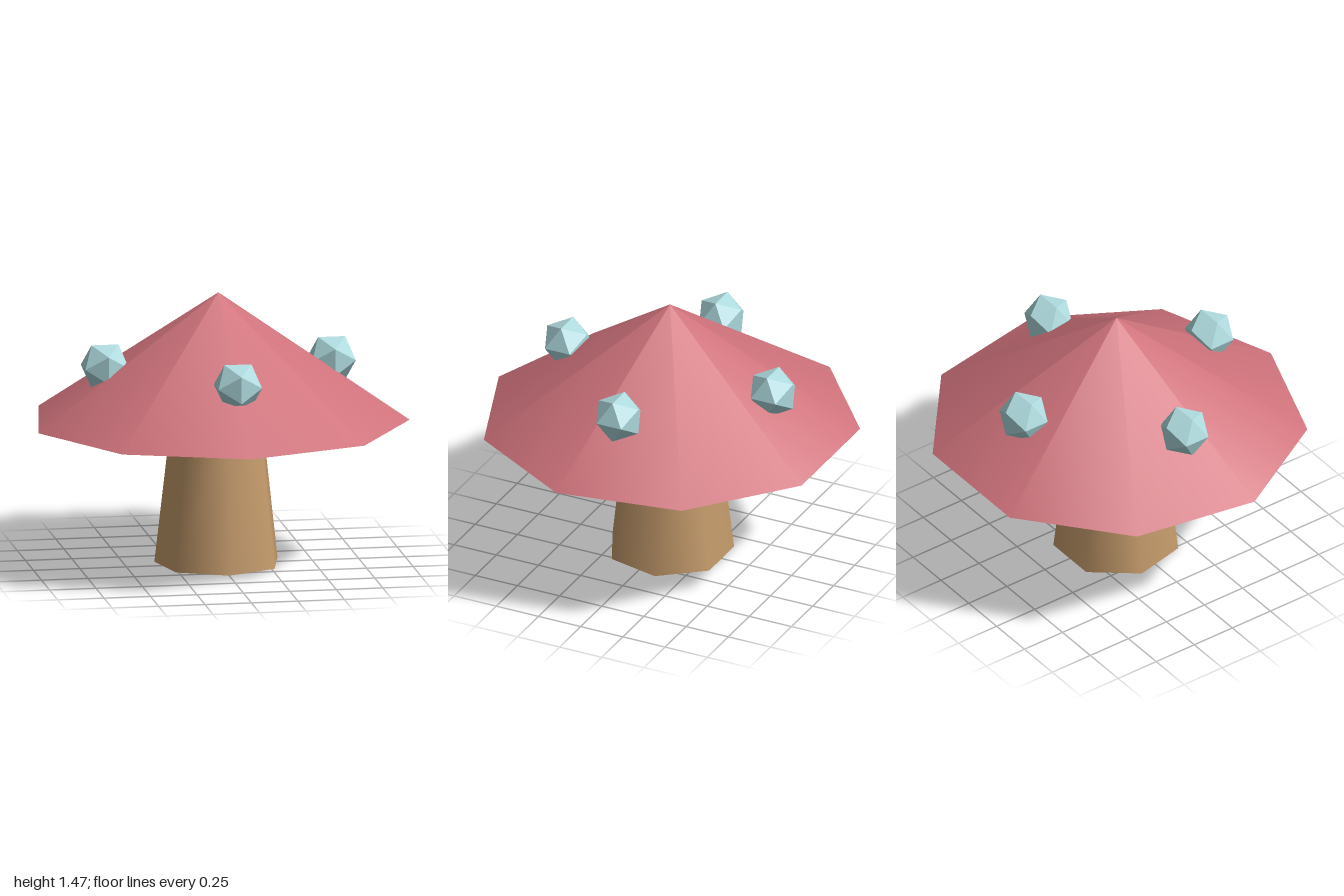
import * as THREE from 'three';

const mat = (name, color, flatShading = false) => {
  const m = new THREE.MeshStandardMaterial({ color, flatShading });
  m.name = name;
  return m;
};

export function createModel() {
  const group = new THREE.Group();
  group.name = 'mushroom';
  const pink = mat('capPink', 0xcf727b);
  const tan = mat('stemTan', 0xc69c6c);
  const blue = mat('spotBlue', 0xaedade, true);
  const axisZ = -0.03; // the nine-sided cap is not symmetric front to back

  const add = (name, geometry, material, x, y, z) => {
    const mesh = new THREE.Mesh(geometry, material);
    mesh.name = name;
    mesh.position.set(x, y, z);
    group.add(mesh);
  };

  // Tapered seven-sided stem, reaching just inside the cap
  add('stem', new THREE.CylinderGeometry(0.249, 0.34, 0.79, 7), tan, 0, 0.395, axisZ);

  // Wide nine-sided cap
  add('cap', new THREE.ConeGeometry(1.015, 0.69, 9), pink, 0, 1.12, axisZ);

  // Four faceted spots around the cap
  const spot = new THREE.IcosahedronGeometry(0.138, 0);
  const places = { frontSpot: [0, 1], backSpot: [0, -1], leftSpot: [1, 0], rightSpot: [-1, 0] };
  for (const [name, [x, z]] of Object.entries(places)) {
    add(name, spot, blue, x * 0.61, 1.085, axisZ + z * 0.61);
  }
  return group;
}
